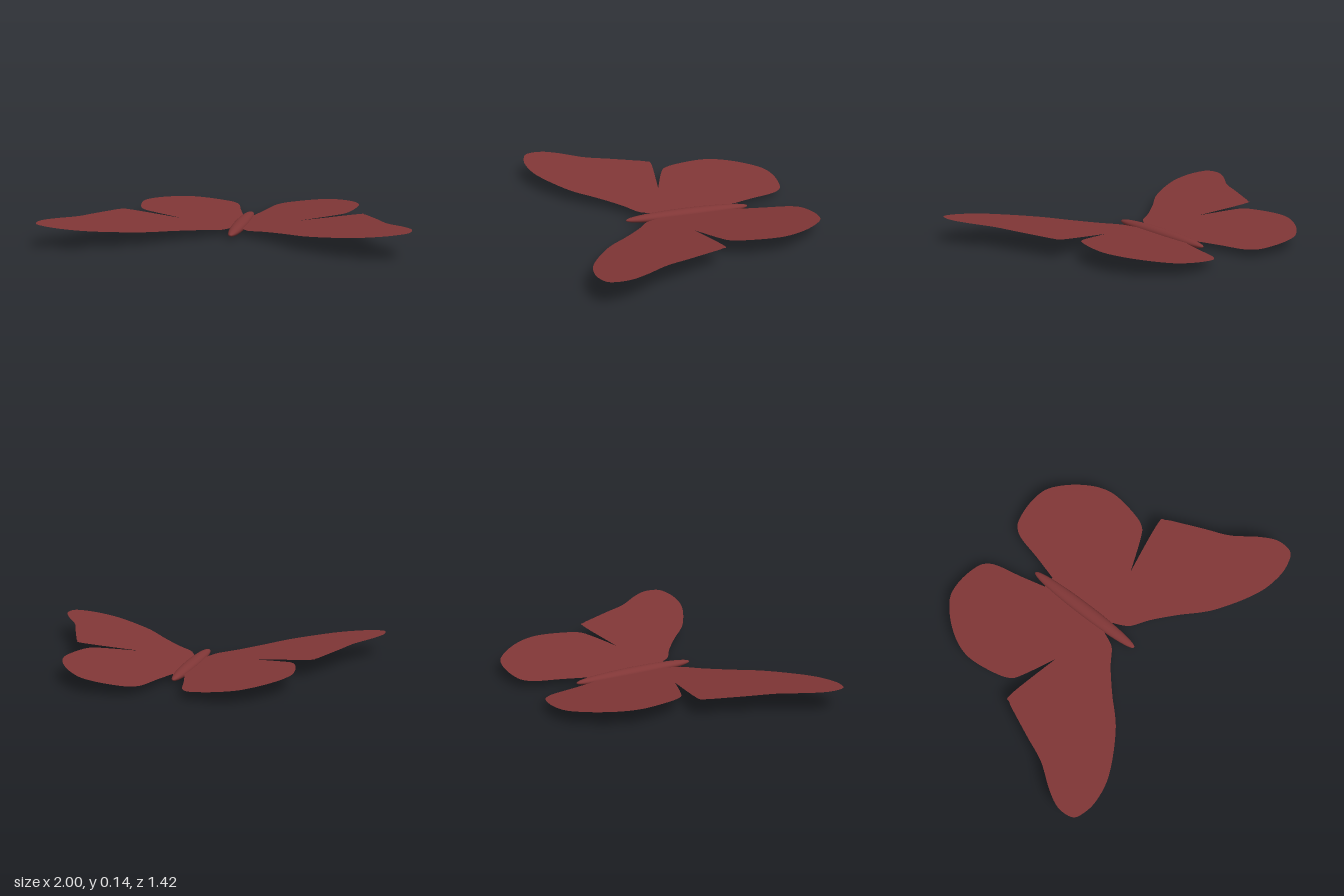
import * as THREE from 'three';

// Wing outlines as [x, z], each a smooth run that ends at the notch between the wings
const HIND_WING = [
  [0.035, -0.32], [0.075, -0.47], [0.107, -0.61], [0.14, -0.67], [0.19, -0.70], [0.30, -0.715],
  [0.41, -0.70], [0.487, -0.65], [0.567, -0.56], [0.626, -0.455], [0.648, -0.35], [0.63, -0.21],
  [0.594, -0.107], [0.524, -0.06], [0.34, 0.015],
];
const FORE_WING = [
  [0.34, 0.015], [0.66, -0.04], [0.706, -0.015], [0.743, 0.064], [0.80, 0.20], [0.856, 0.337],
  [0.947, 0.47], [0.995, 0.57], [0.99, 0.66], [0.94, 0.695], [0.834, 0.707], [0.674, 0.668],
  [0.45, 0.535], [0.30, 0.39], [0.18, 0.283], [0.09, 0.22], [0.06, 0.176], [0.037, 0.123],
];

// Flat wing pair on one side, tilted upward from the body
function wingGeometry(side, slope) {
  const smooth = (pts) => new THREE.SplineCurve(
    pts.map(([x, z]) => new THREE.Vector2(side * x, -z))).getPoints(90);
  const outline = [
    new THREE.Vector2(0, -0.12), new THREE.Vector2(0, 0.32),
    ...smooth(HIND_WING), ...smooth(FORE_WING).slice(1),
  ];
  const geometry = new THREE.ShapeGeometry(new THREE.Shape(outline));
  geometry.rotateX(-Math.PI / 2);
  const p = geometry.attributes.position;
  for (let i = 0; i < p.count; i++) p.setY(i, 0.03 + slope * Math.abs(p.getX(i)));
  geometry.computeVertexNormals();
  return geometry;
}

// Long, slightly blunt spindle lying along z
function bodyGeometry() {
  const profile = [];
  for (let i = 0; i <= 32; i++) {
    const a = Math.PI * (i / 32 - 0.5);
    const radius = i % 32 ? Math.pow(Math.cos(a), 0.9) : 0;
    profile.push(new THREE.Vector2(radius, Math.sin(a)));
  }
  const geometry = new THREE.LatheGeometry(profile, 32);
  geometry.rotateX(Math.PI / 2);
  geometry.scale(0.04, 0.029, 0.365);
  geometry.translate(0, 0.029, -0.055);
  return geometry;
}

export function createModel() {
  const model = new THREE.Group();
  model.name = 'butterfly';
  const bodyMaterial = new THREE.MeshStandardMaterial({ color: 0x803636 });
  const wingMaterial = new THREE.MeshStandardMaterial({ color: 0x803636, side: THREE.DoubleSide });

  const add = (name, geometry, material) => {
    const mesh = new THREE.Mesh(geometry, material);
    mesh.name = name;
    model.add(mesh);
  };
  add('body', bodyGeometry(), bodyMaterial);
  add('leftWings', wingGeometry(1, 0.115), wingMaterial);
  add('rightWings', wingGeometry(-1, 0.1), wingMaterial);
  return model;
}
